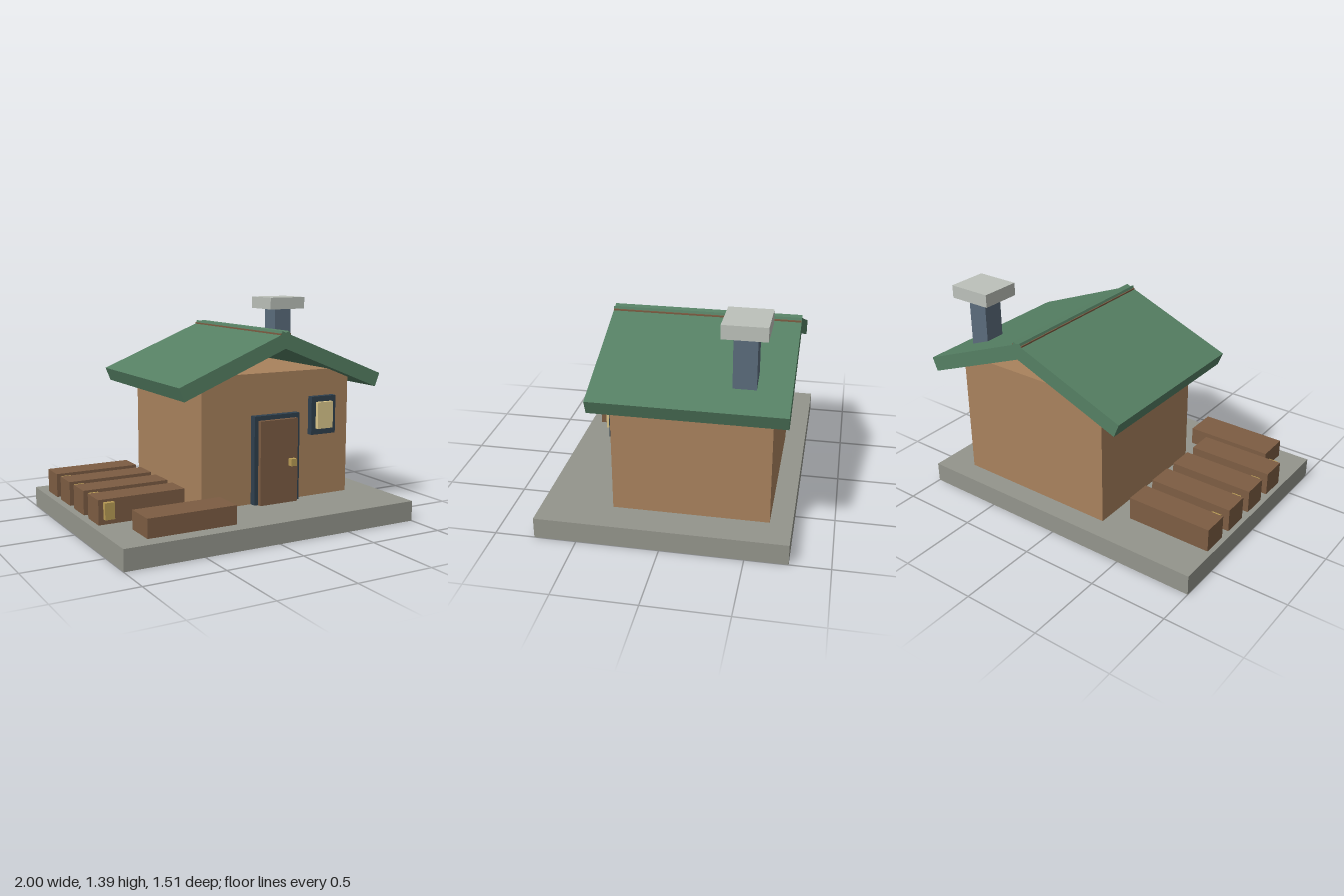
import * as THREE from 'three';

const paint = (color) => new THREE.MeshStandardMaterial({ color });
const stone = paint(0x94958c), wall = paint(0xa9825d), green = paint(0x557f63);
const wood = paint(0x7d5d43), slate = paint(0x2f404e), brick = paint(0x5b6c7c);
const pale = paint(0xbcc1ba), glass = paint(0xdcc88c), brass = paint(0xb99c55);

// Box given by its extents on each axis
function block(parent, name, material, [x0, x1], [y0, y1], [z0, z1]) {
  const mesh = new THREE.Mesh(new THREE.BoxGeometry(x1 - x0, y1 - y0, z1 - z0), material);
  mesh.position.set((x0 + x1) / 2, (y0 + y1) / 2, (z0 + z1) / 2);
  mesh.name = name;
  parent.add(mesh);
  return mesh;
}

export function createModel() {
  const model = new THREE.Group();
  model.name = 'cabin';

  // Ground slab and walls (flat topped, open under the gable)
  block(model, 'base', stone, [-1, 1], [0, 0.13], [-0.757, 0.757]);
  block(model, 'walls', wall, [-0.295, 0.79], [0.13, 0.96], [-0.623, 0.322]);

  // Two pitched slabs whose upper ends cross at the ridge
  const roof = new THREE.Group();
  roof.name = 'roof';
  roof.position.x = 0.245;
  model.add(roof);
  const pitch = Math.atan(0.4), length = 0.818, thickness = 0.092;
  for (const side of [-1, 1]) {
    const slope = new THREE.Group();
    slope.name = side < 0 ? 'rightRoofSlope' : 'leftRoofSlope';
    slope.position.set(side * 0.735, 0.92, 0);
    slope.rotation.z = -side * pitch;
    block(slope, 'roofSlab', green, side < 0 ? [0, length] : [-length, 0], [-thickness, 0], [-0.72, 0.415]);
    roof.add(slope);
  }
  block(roof, 'ridgeBatten', wood, [-0.037, 0.037], [1.185, 1.209], [-0.719, 0.414]);

  // Chimney
  block(model, 'chimney', brick, [0.675, 0.807], [0.775, 1.31], [-0.523, -0.388]);
  block(model, 'chimneyCap', pale, [0.6, 0.883], [1.308, 1.39], [-0.585, -0.328]);

  // Door and window
  block(model, 'doorFrame', slate, [0.055, 0.388], [0.131, 0.698], [0.31, 0.366]);
  block(model, 'door', wood, [0.082, 0.357], [0.131, 0.67], [0.33, 0.395]);
  block(model, 'doorKnob', brass, [0.285, 0.325], [0.372, 0.418], [0.402, 0.435]);
  block(model, 'windowFrame', slate, [0.482, 0.668], [0.542, 0.79], [0.315, 0.362]);
  block(model, 'windowPane', glass, [0.515, 0.632], [0.582, 0.755], [0.34, 0.387]);

  // Row of timber blocks beside the house, each with a tag on its front
  for (let i = 0; i < 4; i++) {
    const z = -0.525 + i * 0.239;
    block(model, 'timber', wood, [-0.983, -0.43], [0.152, 0.302], [z, z + 0.166]);
    block(model, 'timberTag', brass, [-0.953, -0.892], [0.185, 0.286], [z + 0.15, z + 0.195]);
  }

  // Low bench in front
  block(model, 'bench', wood, [-0.823, -0.252], [0.137, 0.253], [0.472, 0.68]);

  return model;
}
